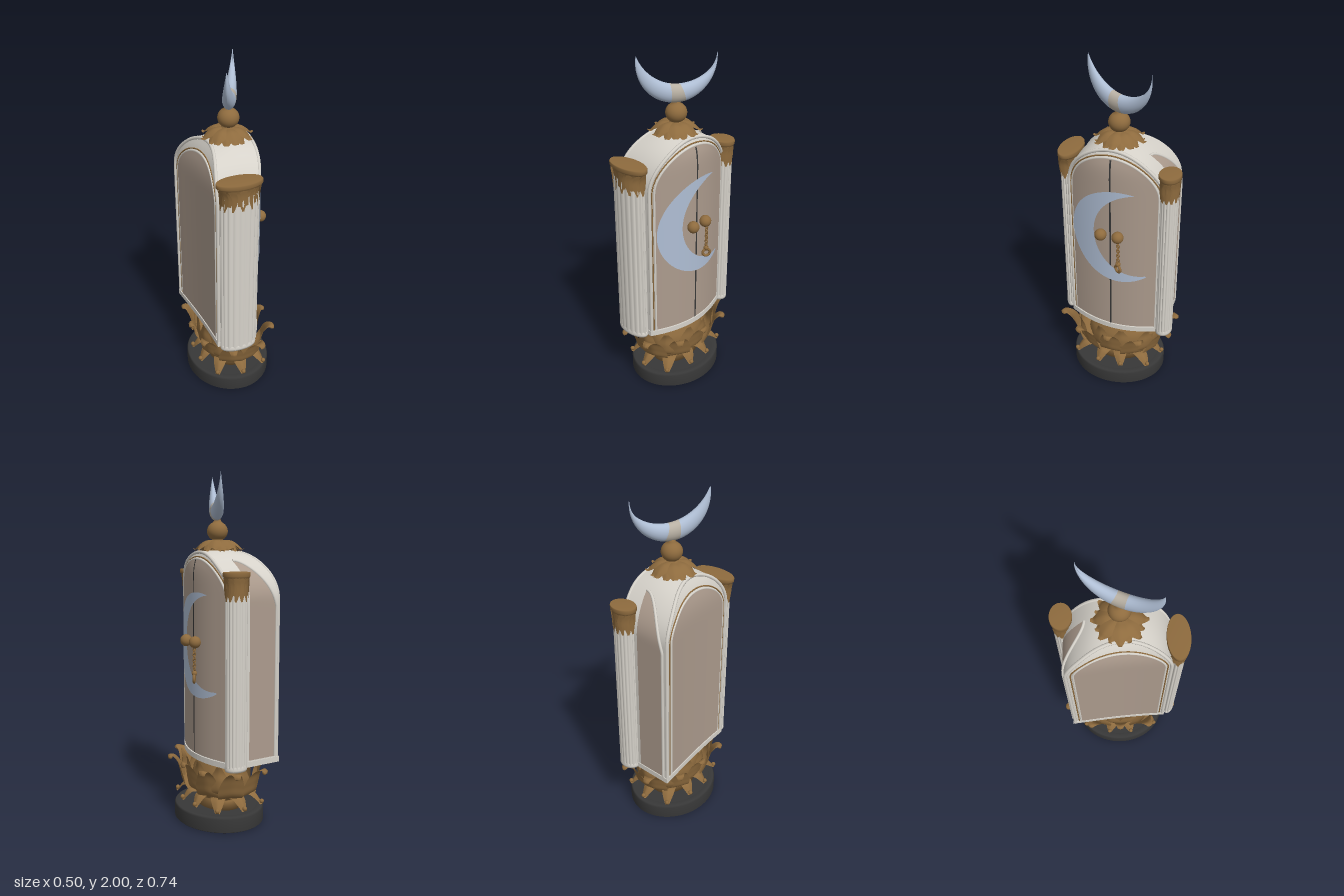
import * as THREE from 'three';

const mat = (name, color) => new THREE.MeshStandardMaterial({ name, color, side: THREE.DoubleSide });
const V = (x, y, z) => new THREE.Vector3(x, y, z);

export function createModel() {
  const white = mat('ivory', 0xd6d2ca), brown = mat('door taupe', 0xac9b8d), gold = mat('old gold', 0x8e6b3e);
  const dark = mat('charcoal', 0x383838), blue = mat('moon blue', 0xafbed4), sand = mat('moon sand', 0xb9b1a4);
  const shade = mat('underside umber', 0x3a2e22);
  const model = new THREE.Group();
  model.name = 'moonCabinet';
  const add = (name, geo, material, x = 0, y = 0, z = 0, parent = model) => {
    const m = new THREE.Mesh(geo, material);
    m.name = name;
    m.position.set(x, y, z);
    parent.add(m);
    return m;
  };
  // Surface from a rule: f(u, v) gives a point, u and v in 0..1
  const surface = (f, nu, nv) => {
    const g = new THREE.PlaneGeometry(1, 1, nu, nv), p = g.attributes.position;
    for (let i = 0; i < p.count; i++) {
      const q = f(p.getX(i) + 0.5, p.getY(i) + 0.5);
      p.setXYZ(i, q.x, q.y, q.z);
    }
    g.computeVertexNormals();
    return g;
  };
  const tube = (pts, r, n = 60) => new THREE.TubeGeometry(new THREE.CatmullRomCurve3(pts), n, r, 8);
  const samples = (n, f) => Array.from({ length: n + 1 }, (_, i) => f(i / n));

  // Cabinet plan: bowed door side (+x), slanted back side (-x), both easing inward at the crown; -z side set out a little
  const H = 0.28, Y0 = 0.38, SPRING = 1.3, RISE = 0.265;
  const ease = (y, n) => Math.max(0, (y - SPRING) / RISE) ** n;
  const xFront = (z, y) => 0.086 - 0.053 * z + 0.072 * (1 - (z / 0.27) ** 2) - 0.04 * ease(y, 5);
  const xBack = (z, y) => -0.174 + 0.089 * z - 0.115 * z * z + 0.065 * ease(y, 3);
  const skew = z => z - 0.02 * Math.max(0, (-z - 0.18) / 0.1) ** 2;
  const arch = (h, b) => z => SPRING + b * Math.sqrt(Math.max(0, 1 - (z / h) ** 2));

  // Side walls and vault as one shell; s: -1 foot at +z, 0..1 arch, 2 foot at -z
  const shell = (s, v, out = 0) => {
    const a = Math.PI * Math.min(1, Math.max(0, s));
    const drop = s < 0 ? -s : Math.max(0, s - 1);
    const z = H * Math.cos(a), y = SPRING + RISE * Math.sin(a) - drop * (SPRING - Y0);
    const xb = xBack(z, y);
    const crown = 0.012 * Math.sin(Math.PI * v) * Math.sin(a);
    return V(xb + (xFront(z, y) - xb) * v, y + crown + out * Math.sin(a), skew(z) + out * Math.cos(a));
  };
  add('shell', surface((u, v) => shell(u * 3 - 1, v), 120, 16), white);

  // Upright walls following the plan, with arched or flat tops
  const wall = (xf, h, y0, top, off) => surface((u, v) => {
    const z = -h * Math.cos(Math.PI * u), y = y0 + (top(z) - y0) * v;
    return V(xf(z, y) + off, y, skew(z));
  }, 48, 40);
  const outline = (xf, h, b, y0) => [
    ...samples(6, t => V(xf(h, SPRING), y0 + (SPRING - y0) * t * 0.98, h)),
    ...samples(24, t => {
      const z = h * Math.cos(Math.PI * t), y = SPRING + b * Math.sin(Math.PI * t);
      return V(xf(z, y), y, skew(z));
    }),
    ...samples(6, t => V(xf(-h, SPRING), SPRING - (SPRING - y0) * (0.02 + t * 0.98), skew(-h)))];
  for (const [name, xf, h, b, dir] of [['door', xFront, 0.25, 0.225, 1], ['back', xBack, 0.243, 0.19, -1]]) {
    add(name + 'Wall', wall(xf, H, Y0, arch(H, RISE), 0), white);
    add(name + 'Panel', wall(xf, h, 0.415, arch(h, b), 0.005 * dir), brown);
    add(name + 'OuterFrame', tube(outline(xf, H - 0.006, RISE - 0.004, Y0), 0.01, 120), white);
    add(name + 'InnerFrame', tube(outline(xf, h, b, 0.41), 0.007, 120), white);
    add(name + 'GoldLine', tube(outline(xf, h + 0.011, b + 0.012, 0.41), 0.004, 120), gold);
  }
  add('doorSeam', wall(xFront, 0.005, 0.415, () => 1.52, 0.008), dark);

  // Half-arched panel on the -z side, bending into the vault
  const sideV = u => 0.07 + 0.58 * u, sideTop = u => 1.04 - 0.32 * Math.sin(u * Math.PI / 2) ** 0.85;
  add('sidePanel', surface((u, v) => shell(1.96 + (sideTop(u) - 1.96) * v, sideV(u), 0.005), 20, 60), brown);
  add('sidePanelFrame', tube([...samples(6, t => shell(1.96 - 0.9 * t, sideV(0), 0.004)),
    ...samples(16, t => shell(sideTop(t), sideV(t), 0.004))], 0.008, 80), white);

  // Floor slab with a shadowed underside
  const floor = grow => new THREE.Shape([
    ...samples(16, t => { const z = H - 2 * H * t; return new THREE.Vector2(xFront(z, 0) + grow, skew(z) * (1 + 2 * grow)); }),
    ...samples(8, t => { const z = 2 * H * t - H; return new THREE.Vector2(xBack(z, 0) - grow, skew(z) * (1 + 2 * grow)); })]);
  add('floorSlab', new THREE.ExtrudeGeometry(floor(0.008), { depth: 0.032, bevelEnabled: false }).rotateX(Math.PI / 2),
    white, 0, 0.41, 0);
  add('floorUnderside', new THREE.ShapeGeometry(floor(-0.008)).rotateX(Math.PI / 2), shade, 0, 0.376, 0);

  // Pointed, keeled petal along a path of [radius, height], on an ellipse rx by rz
  const petal = (path, a, rx, rz, width, cup) => {
    const c = new THREE.CatmullRomCurve3(path.map(([r, y]) => V(r * rx, y, 0)));
    return surface((u, v) => {
      const q = c.getPointAt(v), w = width * (0.2 + 0.8 * Math.sin(Math.PI * (0.22 + 0.78 * v)) ** 1.25);
      const e = 2 * u - 1, keel = 1 - Math.abs(e) ** 1.3;
      const r = (q.x + cup * w * keel * 0.5) / rx, y = q.y + 0.12 * w * keel;
      return V(rx * r * Math.cos(a) - e * w * Math.sin(a) * 0.5, y, rz * r * Math.sin(a) + e * w * Math.cos(a) * 0.5);
    }, 8, 22);
  };
  const ring = (name, n, phase, path, rx, rz, width, cup, parent = model) => {
    const g = new THREE.Group();
    g.name = name;
    for (let i = 0; i < n; i++) add('petal', petal(path, (i + phase) / n * Math.PI * 2, rx, rz, width, cup), gold, 0, 0, 0, g);
    parent.add(g);
  };
  const lathe = (pts, n = 48) => new THREE.LatheGeometry(pts.map(p => new THREE.Vector2(...p)), n);

  // Oval foot
  add('base', lathe([[0, 0], [0.245, 0], [0.252, 0.006], [0.252, 0.08], [0.245, 0.09], [0.215, 0.09], [0.21, 0.084], [0, 0.084]], 64), dark)
    .scale.z = 1.155;

  // Lotus: ten petals per ring, spread over a rounded oblong, each ending in a small curl
  add('lotusCore', lathe([[0, 0.08], [0.12, 0.085], [0.1, 0.13], [0.1, 0.16], [0.135, 0.19], [0.145, 0.24], [0.135, 0.3], [0.1, 0.375]]), gold)
    .scale.z = 1.35;
  const lotusRing = (name, phase, path, rx, rz, width, curl) => {
    const g = new THREE.Group();
    g.name = name;
    model.add(g);
    for (let i = 0; i < 10; i++) {
      const b = (i + phase) / 10 * Math.PI * 2, a = b - 0.1 * Math.sin(2 * b);
      const k = (Math.abs(Math.cos(a)) ** 2.8 + Math.abs(Math.sin(a)) ** 2.8) ** (-1 / 2.8);
      add('petal', petal(path, a, rx * k, rz * k, width, 0.28), gold, 0, 0, 0, g);
      const [r, y] = path[path.length - 1];
      if (curl) add('curl', new THREE.SphereGeometry(curl, 12, 8), gold,
        rx * k * r * 0.97 * Math.cos(a), y + 0.006, rz * k * r * 0.97 * Math.sin(a), g);
    }
  };
  lotusRing('lowerLeaves', 0.5, [[0.35, 0.12], [0.5, 0.165], [0.66, 0.17], [0.78, 0.14], [0.86, 0.112], [0.89, 0.125]], 0.24, 0.325, 0.085, 0.013);
  lotusRing('lotusInnerPetals', 0.5, [[0.4, 0.16], [0.6, 0.2], [0.66, 0.27], [0.68, 0.33], [0.73, 0.375]], 0.245, 0.355, 0.15, 0);
  lotusRing('lotusOuterPetals', 0, [[0.4, 0.15], [0.62, 0.185], [0.69, 0.25], [0.78, 0.32], [0.9, 0.357], [0.98, 0.355], [0.985, 0.338]], 0.25, 0.365, 0.15, 0.013);

  // Fluted oval columns with leafy capitals
  const column = (name, x, z, rx, rz) => {
    const g = new THREE.Group();
    g.name = name;
    g.position.set(x, 0, z);
    add('shaft', surface((u, v) => {
      const a = u * Math.PI * 2, k = 0.93 + 0.07 * Math.abs(Math.sin(a * 9));
      return V(rx * k * Math.cos(a), 0.385 + 1.0 * v, rz * k * Math.sin(a));
    }, 144, 1), white, 0, 0, 0, g);
    add('foot', lathe([[0, 0.378], [0.98, 0.378], [1.01, 0.39], [0.98, 0.408], [0.9, 0.412]]), white, 0, 0, 0, g).scale.set(rx, 1, rz);
    add('capital', lathe([[0.93, 1.35], [0.97, 1.355], [0.96, 1.39], [1.02, 1.42], [1.12, 1.432], [1.2, 1.438], [1.2, 1.455], [1.16, 1.46], [0, 1.46]]),
      gold, 0, 0, 0, g).scale.set(rx, 1, rz);
    ring('capitalLeaves', 12, 0, [[1.08, 1.425], [0.98, 1.39], [0.97, 1.35], [1.0, 1.305]], rx, rz, 0.05, 0.15, g);
    ring('capitalUpperLeaves', 12, 0.5, [[0.97, 1.335], [0.97, 1.38], [1.03, 1.41], [1.13, 1.43]], rx, rz, 0.04, 0.15, g);
    model.add(g);
  };
  column('frontColumn', -0.05, 0.305, 0.108, 0.053);
  column('rearColumn', 0.078, -0.307, 0.065, 0.051);

  // Roof rosette and finial
  const rosette = [[0.03, 1.622], [0.07, 1.615], [0.11, 1.593], [0.135, 1.575], [0.148, 1.58]];
  ring('rosette', 8, 0, rosette, 1, 1, 0.085, 0.1);
  ring('rosetteUnder', 8, 0.5, rosette.map(([r, y]) => [r * 0.9, y - 0.01]), 1, 1, 0.075, 0.1);
  add('finial', lathe([[0.07, 1.56], [0.06, 1.605], [0.035, 1.625], [0.03, 1.632],
    ...samples(12, t => { const a = -1 + 2.1 * t; return [0.059 * Math.cos(a), 1.677 + 0.055 * Math.sin(a)]; }),
    [0.02, 1.735], [0.016, 1.75], [0, 1.75]], 32), gold, 0.008, 0, 0);

  // Crescent moons: paired arcs given as [centre, radius, start angle, end angle]
  const arc = ([cx, cy, r, a0, a1], t) => {
    const a = (a0 + (a1 - a0) * t) * Math.PI / 180;
    return [cx + r * Math.cos(a), cy + r * Math.sin(a)];
  };
  const outer = [-0.05, 1.045, 0.297, 107.5, -121.5], inner = [-0.165, 1.064, 0.267, 84.6, -97.5];
  add('doorMoon', surface((u, v) => {
    const p = arc(outer, u), q = arc(inner, u);
    const z = p[0] + (q[0] - p[0]) * v, y = p[1] + (q[1] - p[1]) * v;
    return V(xFront(z, y) + 0.011, y, z);
  }, 60, 10), blue);
  const bowl = [0, 1.96, 0.226, 170, 369], hollow = [0.022, 2.095, 0.262, 203, 319.5];
  const topMoon = new THREE.Group();
  topMoon.name = 'topMoon';
  topMoon.position.x = 0.015;
  topMoon.rotation.y = Math.atan2(0.4, 0.19);
  model.add(topMoon);
  for (const [name, u0, u1, m] of [['moonHorn', 0, 0.45, blue], ['moonBand', 0.45, 0.56, sand], ['moonHorn', 0.56, 1, blue]]) {
    add(name, surface((s, v) => {
      const u = u0 + (u1 - u0) * s, p = arc(bowl, u), q = arc(hollow, u);
      const a = v * Math.PI * 2, c = 0.5 + 0.5 * Math.cos(a);
      return V(q[0] + (p[0] - q[0]) * c, q[1] + (p[1] - q[1]) * c, 0.036 * Math.sin(Math.PI * u) * Math.sin(a));
    }, 28, 20), m, 0, 0, 0, topMoon);
  }

  // Door knobs, chain and charm
  for (const z of [0.05, -0.05]) add('knob', new THREE.SphereGeometry(0.034, 24, 16), gold, 0.186, 1.065, z);
  for (let i = 0; i < 9; i++) {
    const link = add('chainLink', new THREE.TorusGeometry(0.009, 0.003, 6, 12), gold, 0.193, 1.028 - i * 0.016, -0.055);
    link.scale.y = 1.25;
    link.rotation.y = i % 2 * Math.PI / 2;
  }
  add('charmBead', new THREE.SphereGeometry(0.015, 16, 12), gold, 0.193, 0.89, -0.055);
  add('charmRing', new THREE.TorusGeometry(0.021, 0.008, 8, 24), gold, 0.195, 0.86, -0.055).rotation.y = 1.0;
  return model;
}
